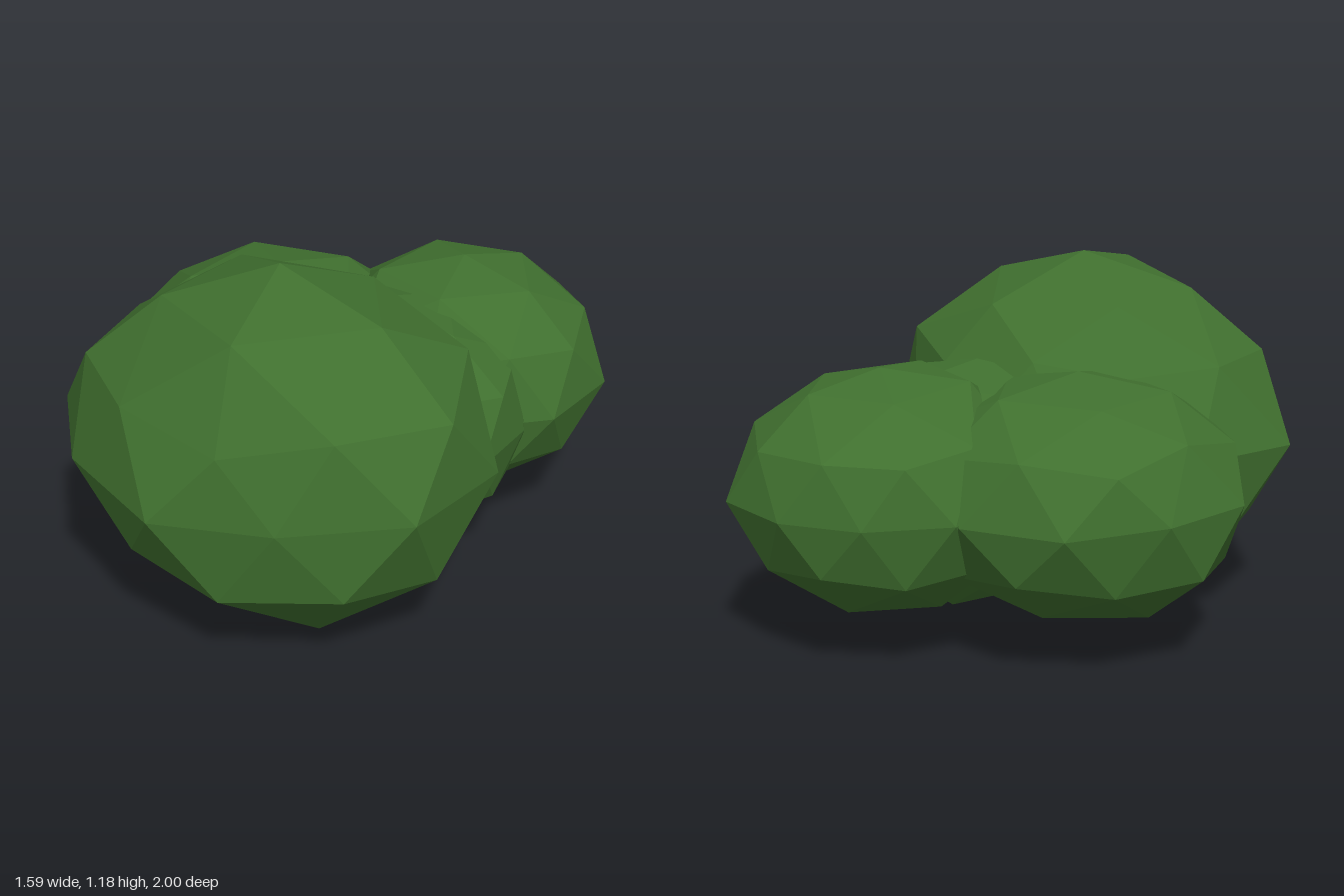
import * as THREE from 'three';

const leafGreen = new THREE.MeshStandardMaterial({ color: 0x40702f });
leafGreen.name = 'leafGreen';

// Faceted ball standing on one corner; each nudge pulls the nearest corner to a point
function leafClump(name, center, radii, nudges) {
  const geo = new THREE.IcosahedronGeometry(1, 1);
  geo.rotateZ(-Math.atan(2 / (1 + Math.sqrt(5))));
  geo.scale(...radii);
  geo.translate(...center);

  const pos = geo.attributes.position;
  const v = new THREE.Vector3();
  for (const n of nudges) {
    const target = new THREE.Vector3(...n);
    const nearest = new THREE.Vector3();
    let best = Infinity;
    for (let i = 0; i < pos.count; i++) {
      const d = v.fromBufferAttribute(pos, i).distanceTo(target);
      if (d < best) { best = d; nearest.copy(v); }
    }
    // move every copy of that corner together
    for (let i = 0; i < pos.count; i++) {
      if (v.fromBufferAttribute(pos, i).distanceTo(nearest) < 1e-4) pos.setXYZ(i, ...n);
    }
  }
  // unshared triangles give flat facets
  geo.computeVertexNormals();
  const mesh = new THREE.Mesh(geo, leafGreen);
  mesh.name = name;
  return mesh;
}

export function createModel() {
  const bush = new THREE.Group();
  bush.name = 'bush';
  bush.add(
    // large clump at the front
    leafClump('frontClump', [0.115, 0.59, 0.345], [0.7, 0.59, 0.655], [
      // widest ring
      [-0.6, 0.575, 0.575], [0.115, 0.575, 1.0], [0.47, 0.575, 0.83],
      [0.79, 0.575, 0.12], [0.5, 0.58, -0.1],
      // crown
      [0.5, 1.08, 0.345], [0.24, 1.1, 0.735], [0.22, 1.03, 0.0],
      [-0.19, 1.06, 0.55], [-0.19, 1.05, 0.16],
      // shoulders
      [-0.47, 0.86, 0.345], [0.765, 0.84, 0.345], [0.29, 0.8, 0.88], [-0.07, 0.86, 0.89],
      [0.57, 0.85, 0.67], [0.32, 0.84, -0.13], [-0.06, 0.89, -0.11], [-0.33, 0.85, 0.04],
      // underside
      [-0.23, 0.13, 0.345], [-0.53, 0.31, 0.345], [0.43, 0.08, 0.56], [0.725, 0.27, 0.345],
      [0.0, 0.14, 0.66], [-0.05, 0.36, 0.89], [0.29, 0.3, 0.885],
    ]),
    // clump at the side
    leafClump('sideClump', [-0.263, 0.5, -0.12], [0.565, 0.395, 0.55], [
      [-0.705, 0.73, -0.12], [-0.56, 0.14, -0.12], [-0.263, 0.16, -0.12],
      [-0.8, 0.52, 0.05], [-0.78, 0.52, -0.29], [-0.56, 0.5, 0.28], [-0.775, 0.31, -0.12],
    ]),
    // clump at the back
    leafClump('backClump', [0.215, 0.505, -0.53], [0.495, 0.4, 0.47], [
      [0.19, 0.5, -1.0], [0.49, 0.5, -0.95], [0.69, 0.5, -0.7], [0.69, 0.5, -0.375],
      [-0.07, 0.5, -0.895], [0.07, 0.69, -0.92],
      [0.3, 0.87, -0.26], [0.0, 0.86, -0.34], [0.07, 0.73, -0.1],
    ]),
    // clump filling the middle
    leafClump('middleClump', [0.15, 0.49, -0.15], [0.535, 0.39, 0.5], [
      [0.66, 0.49, 0.0], [0.64, 0.49, -0.27], [0.06, 0.105, -0.37],
    ]),
  );
  return bush;
}
